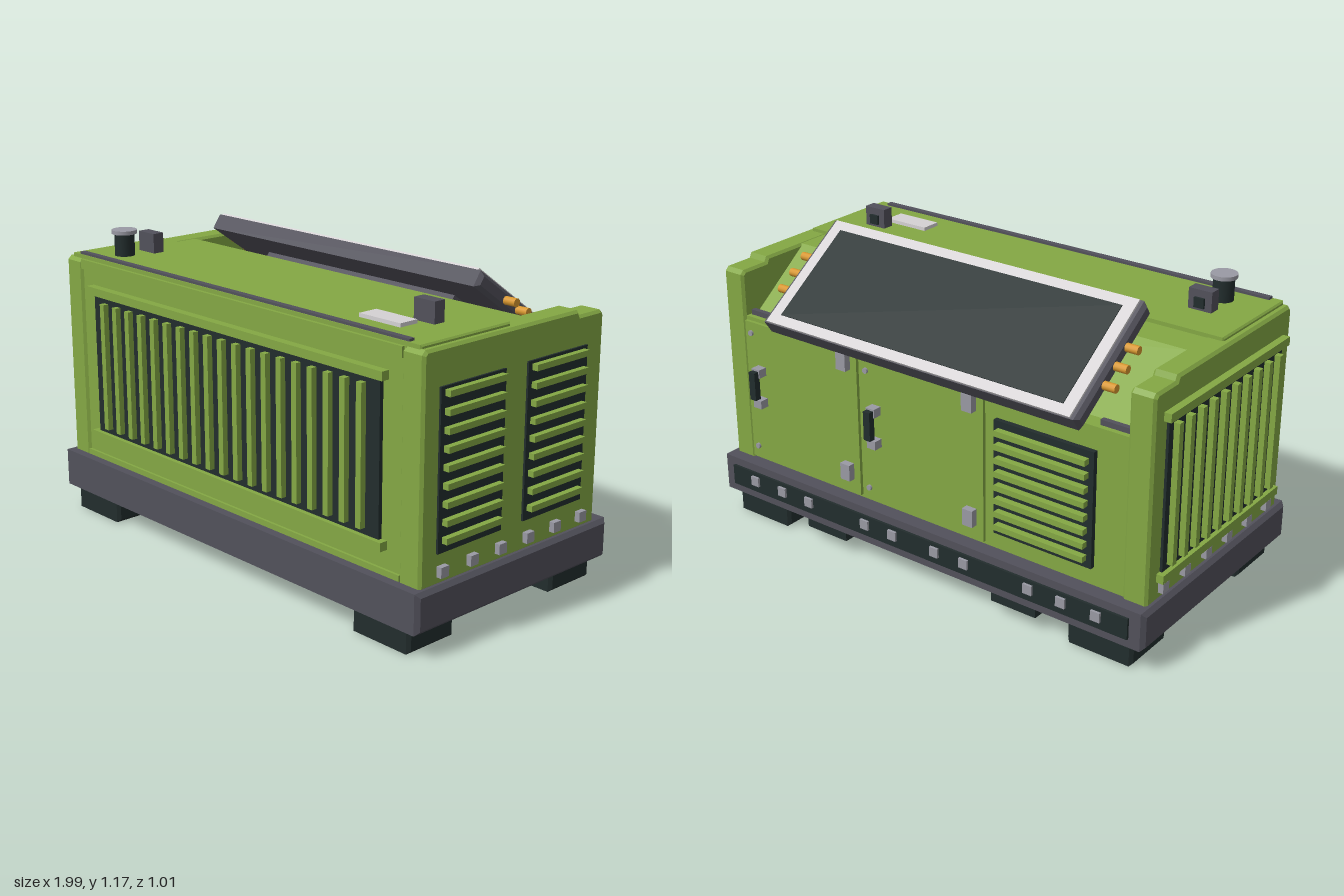
import * as THREE from 'three';

const mat = (name, color) => {
  const m = new THREE.MeshStandardMaterial({ color });
  m.name = name;
  return m;
};

export function createModel() {
  const green = mat('green paint', 0x84a844);
  const dark = mat('dark rubber', 0x222d2d);
  const slate = mat('slate metal', 0x52515b);
  const grey = mat('grey metal', 0x9a9aa4);
  const light = mat('light trim', 0xd5d2d4);
  const orange = mat('orange bolts', 0xd9982f);

  const model = new THREE.Group();
  model.name = 'generator';

  const add = (name, geo, material, parent = model) => {
    const m = new THREE.Mesh(geo, material);
    m.name = name;
    parent.add(m);
    return m;
  };
  // Box given by its limits on each axis
  const box = (name, material, x0, x1, y0, y1, z0, z1, parent = model) => {
    const m = add(name, new THREE.BoxGeometry(x1 - x0, y1 - y0, z1 - z0), material, parent);
    m.position.set((x0 + x1) / 2, (y0 + y1) / 2, (z0 + z1) / 2);
    return m;
  };
  // Side outline of [z, y] points, extruded along x with chamfered edges
  const profile = (name, material, pts, x0, x1, c = 0, parent = model) => {
    const shape = new THREE.Shape(pts.map(([z, y]) => new THREE.Vector2(-z, y)));
    const geo = new THREE.ExtrudeGeometry(shape, {
      depth: x1 - x0 - 2 * c, bevelEnabled: c > 0, bevelSize: c,
      bevelThickness: c, bevelOffset: -c, bevelSegments: 1,
    });
    geo.rotateY(Math.PI / 2).translate(x0 + c, 0, 0);
    return add(name, geo, material, parent);
  };
  const chamferBox = (name, material, x0, x1, y0, y1, z0, z1, c, parent = model) =>
    profile(name, material, [[z1, y0], [z0, y0], [z0, y1], [z1, y1]], x0, x1, c, parent);

  // Base frame, feet and fork pads
  chamferBox('base', slate, -0.99, 0.99, 0.09, 0.238, -0.485, 0.505, 0.015);
  for (const s of [-1, 1]) {
    for (const z of [0.375, -0.355]) {
      chamferBox('foot', dark, s * 0.8 - 0.135, s * 0.8 + 0.135, 0, 0.077, z - 0.11, z + 0.11, 0.012);
      box('footPlate', grey, s * 0.8 - 0.11, s * 0.8 + 0.11, 0.075, 0.092, z - 0.09, z + 0.09);
    }
    box('forkPad', dark, s * 0.445 - 0.098, s * 0.445 + 0.098, 0.055, 0.1, -0.483, -0.055);
  }

  // Body core with a sloping recess at the upper back
  profile('bodyCore', green, [
    [0.46, 0.23], [-0.425, 0.23], [-0.425, 0.84], [-0.36, 0.84],
    [-0.10, 1.038], [0.46, 1.038],
  ], -0.88, 0.88);
  // Side walls with chamfered corner posts
  for (const s of [-1, 1]) {
    profile('sideWall', green, [
      [0.47, 0.23], [-0.435, 0.23], [-0.435, 1.005], [-0.42, 1.02],
      [-0.305, 1.02], [-0.295, 1.04], [0.455, 1.04], [0.47, 1.025],
    ], s > 0 ? 0.867 : -0.965, s > 0 ? 0.965 : -0.867, 0.01);
    box('recessBracket', slate, s * 0.8 - 0.06, s * 0.8 + 0.06, 0.83, 0.86, -0.405, -0.385);
  }
  box('frontSill', green, -0.87, 0.87, 0.238, 0.26, 0.45, 0.47);
  box('frontHeader', green, -0.87, 0.87, 1.0, 1.038, 0.45, 0.47);

  // Roof plate and its fittings
  chamferBox('roofPlate', green, -0.94, 0.94, 1.03, 1.053, 0.03, 0.457, 0.006);
  box('roofStrip', slate, -0.895, 0.885, 1.05, 1.062, 0.43, 0.453);
  for (const s of [-1, 1]) {
    box('roofLug', slate, s * 0.748 - 0.047, s * 0.748 + 0.047, 1.05, 1.13, 0.195, 0.242);
    box('lugButton', dark, s * 0.748 - 0.02, s * 0.748 + 0.02, 1.065, 1.102, 0.185, 0.196);
  }
  box('roofLabel', light, 0.555, 0.745, 1.05, 1.067, 0.27, 0.35);
  const stack = add('exhaustPipe', new THREE.CylinderGeometry(0.039, 0.039, 0.09, 24), dark);
  stack.position.set(-0.76, 1.095, 0.338);
  const cap = add('exhaustCap', new THREE.CylinderGeometry(0.049, 0.049, 0.015, 24), grey);
  cap.position.set(-0.76, 1.146, 0.338);

  // Front grille
  box('frontGrille', dark, -0.78, 0.78, 0.36, 0.912, 0.45, 0.475);
  for (let i = 0; i < 19; i++) {
    const x = -0.705 + i * 0.0783;
    box('frontSlat', green, x - 0.0125, x + 0.0125, 0.385, 0.89, 0.47, 0.497);
  }
  for (const y of [0.345, 0.93])
    box('frontRail', green, -0.805, 0.805, y - 0.016, y + 0.016, 0.455, 0.493);

  // Left side: two grilles with level slats
  for (const z of [0.24, -0.185]) {
    box('leftGrille', dark, 0.95, 0.973, 0.345, 0.912, z - 0.156, z + 0.156);
    for (let i = 0; i < 9; i++) {
      const y = 0.39 + i * 0.0626;
      box('leftSlat', green, 0.97, 0.996, y - 0.011, y + 0.011, z - 0.138, z + 0.138);
    }
  }

  // Right side: one grille with upright slats
  box('rightGrille', dark, -0.975, -0.95, 0.34, 0.91, -0.36, 0.4);
  for (let i = 0; i < 10; i++) {
    const z = -0.32 + i * 0.0755;
    box('rightSlat', green, -0.998, -0.97, 0.36, 0.89, z - 0.0125, z + 0.0125);
  }
  for (const y of [0.325, 0.925])
    box('rightRail', green, -0.993, -0.95, y - 0.016, y + 0.016, -0.38, 0.42);

  // Small tie blocks along the bottom of both sides
  for (const s of [-1, 1])
    for (const z of [0.372, 0.227, 0.084, -0.06, -0.204, -0.346]) {
      const x = s * 0.973;
      box('tieBlock', grey, x - 0.013, x + 0.013, 0.262, 0.3, z - 0.019, z + 0.019);
    }

  // Back doors with handles, hinges and corner studs
  for (const [x0, x1] of [[0.302, 0.865], [-0.28, 0.285]]) {
    const door = new THREE.Group();
    door.name = 'door';
    model.add(door);
    box('doorPanel', green, x0, x1, 0.25, 0.825, -0.438, -0.42, door);
    const hx = x1 - 0.075;
    box('handleGrip', dark, hx - 0.015, hx + 0.015, 0.53, 0.645, -0.496, -0.47, door);
    for (const y of [0.505, 0.635])
      box('handleMount', grey, hx - 0.02, hx + 0.02, y - 0.017, y + 0.017, -0.475, -0.435, door);
    for (const y of [0.343, 0.795])
      box('hinge', grey, x0 + 0.03, x0 + 0.075, y - 0.033, y + 0.033, -0.466, -0.435, door);
    for (const y of [0.3, 0.78]) {
      const stud = add('doorStud', new THREE.CylinderGeometry(0.011, 0.011, 0.012, 12), grey, door);
      stud.rotation.x = Math.PI / 2;
      stud.position.set(x1 - 0.03, y, -0.441);
    }
  }

  // Back grille
  box('backGrille', dark, -0.745, -0.33, 0.31, 0.755, -0.444, -0.42);
  for (let i = 0; i < 8; i++) {
    const y = 0.35 + i * 0.0525;
    box('backSlat', green, -0.725, -0.35, y - 0.011, y + 0.011, -0.47, -0.44);
  }

  // Dark strip with sockets on the back of the base
  box('socketStrip', dark, -0.93, 0.93, 0.125, 0.207, -0.495, -0.48);
  for (const s of [-1, 1])
    for (const x of [0.805, 0.66, 0.52, 0.235, 0.1])
      box('socket', grey, s * x - 0.019, s * x + 0.019, 0.155, 0.193, -0.505, -0.49);

  // Tilted display over the recess
  const display = new THREE.Group();
  display.name = 'display';
  display.position.set(0, 1.03, -0.3);
  display.rotation.x = -0.607;
  model.add(display);
  chamferBox('displayShell', slate, -0.71, 0.71, -0.07, -0.008, -0.25, 0.25, 0.014, display);
  box('displayFrame', light, -0.683, 0.683, -0.02, 0, -0.247, 0.247, display);
  box('displayScreen', dark, -0.636, 0.636, -0.004, 0.003, -0.207, 0.207, display);
  box('displayMount', slate, -0.5, 0.5, -0.13, -0.06, -0.1, 0.1, display);
  for (const s of [-1, 1])
    for (const z of [-0.08, 0, 0.08]) {
      const bolt = add('displayBolt', new THREE.CylinderGeometry(0.016, 0.016, 0.06, 12), orange, display);
      bolt.rotation.z = Math.PI / 2;
      bolt.position.set(s * 0.73, -0.04, z);
    }

  return model;
}
